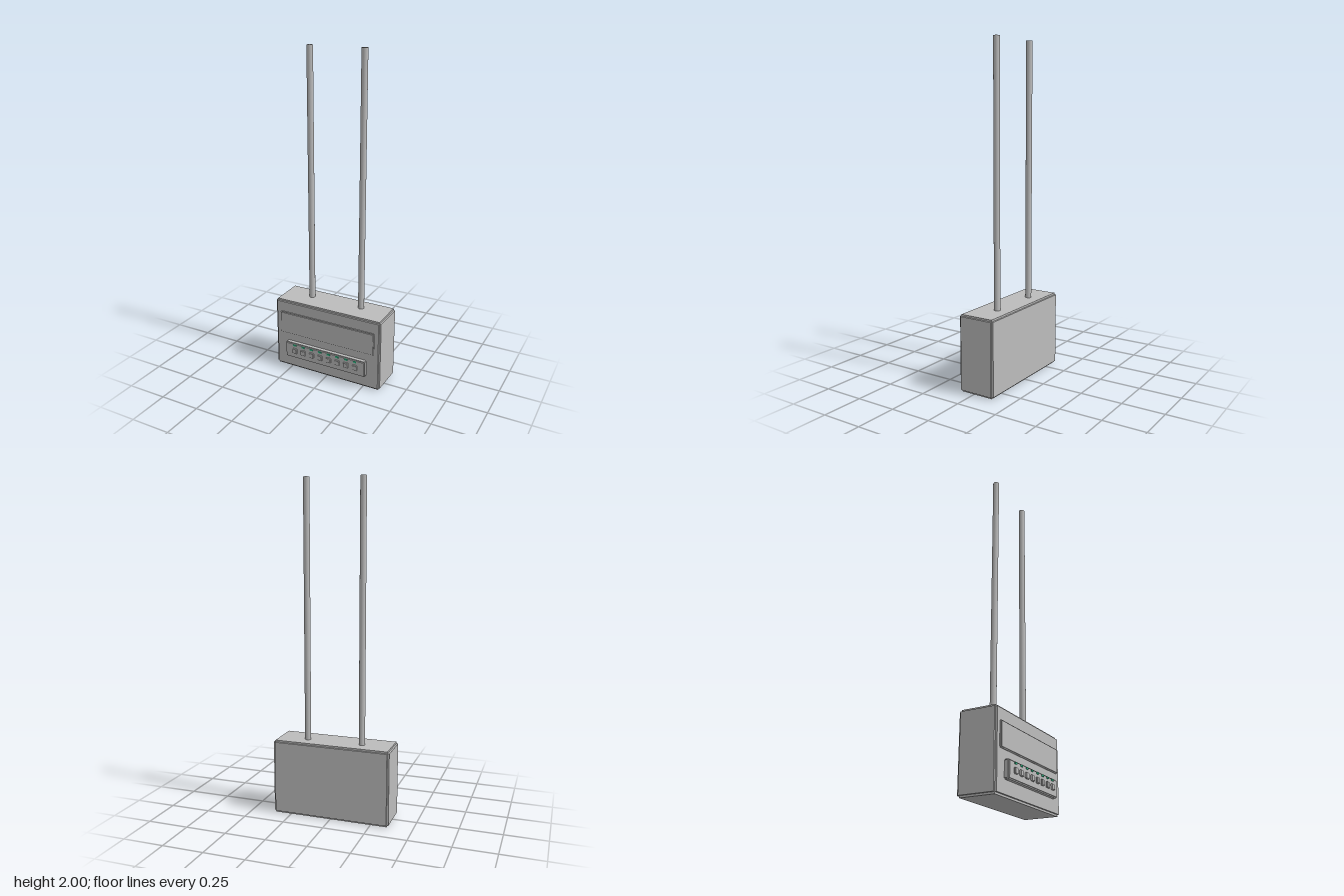
import * as THREE from 'three';
import { mergeVertices } from 'three/addons/utils/BufferGeometryUtils.js';

export function createModel() {
  const model = new THREE.Group();
  model.name = 'wirelessRouter';

  const grey = new THREE.MeshStandardMaterial({ color: 0xbcbcbc });
  grey.name = 'casingGrey';
  const green = new THREE.MeshStandardMaterial({ color: 0x35c48e });
  green.name = 'lightGreen';

  // Box between two corners
  function box(parent, name, material, [x0, y0, z0], [x1, y1, z1]) {
    const mesh = new THREE.Mesh(new THREE.BoxGeometry(x1 - x0, y1 - y0, z1 - z0), material);
    mesh.position.set((x0 + x1) / 2, (y0 + y1) / 2, (z0 + z1) / 2);
    mesh.name = name;
    parent.add(mesh);
  }

  // Block with stepped edges: three crossing boxes, each long on one axis
  function steppedBlock(name, min, max, step) {
    const group = new THREE.Group();
    group.name = name;
    ['Width', 'Height', 'Depth'].forEach((label, axis) => {
      const lo = min.map((v, i) => (i === axis ? v : v + step));
      const hi = max.map((v, i) => (i === axis ? v : v - step));
      box(group, name + label, grey, lo, hi);
    });
    model.add(group);
  }

  // Casing, raised front panel and port strip
  steppedBlock('casing', [-0.359, 0, -0.133], [0.359, 0.456, 0.094], 0.011);
  steppedBlock('frontPanel', [-0.323, 0.235, 0.08], [0.323, 0.38, 0.104], 0.0055);
  steppedBlock('portStrip', [-0.275, 0.085, 0.08], [0.275, 0.187, 0.122], 0.006);

  // Row of ports, each with a small light above it
  for (let i = 0; i < 8; i++) {
    const x = (i - 3.5) * 0.0597;
    steppedBlock('port' + (i + 1), [x - 0.0165, 0.12, 0.112], [x + 0.0165, 0.153, 0.132], 0.003);
    box(model, 'light' + (i + 1), green, [x - 0.01, 0.17, 0.119], [x + 0.01, 0.18, 0.127]);
  }

  // Antennas, with normals blended over the rims
  let rod = new THREE.CylinderGeometry(0.0185, 0.0185, 1.555, 24);
  rod.deleteAttribute('normal');
  rod.deleteAttribute('uv');
  rod = mergeVertices(rod);
  rod.computeVertexNormals();
  for (const side of [-1, 1]) {
    const antenna = new THREE.Mesh(rod, grey);
    antenna.position.set(side * 0.17, 1.2225, -0.038);
    antenna.name = side > 0 ? 'leftAntenna' : 'rightAntenna';
    model.add(antenna);
  }

  return model;
}
